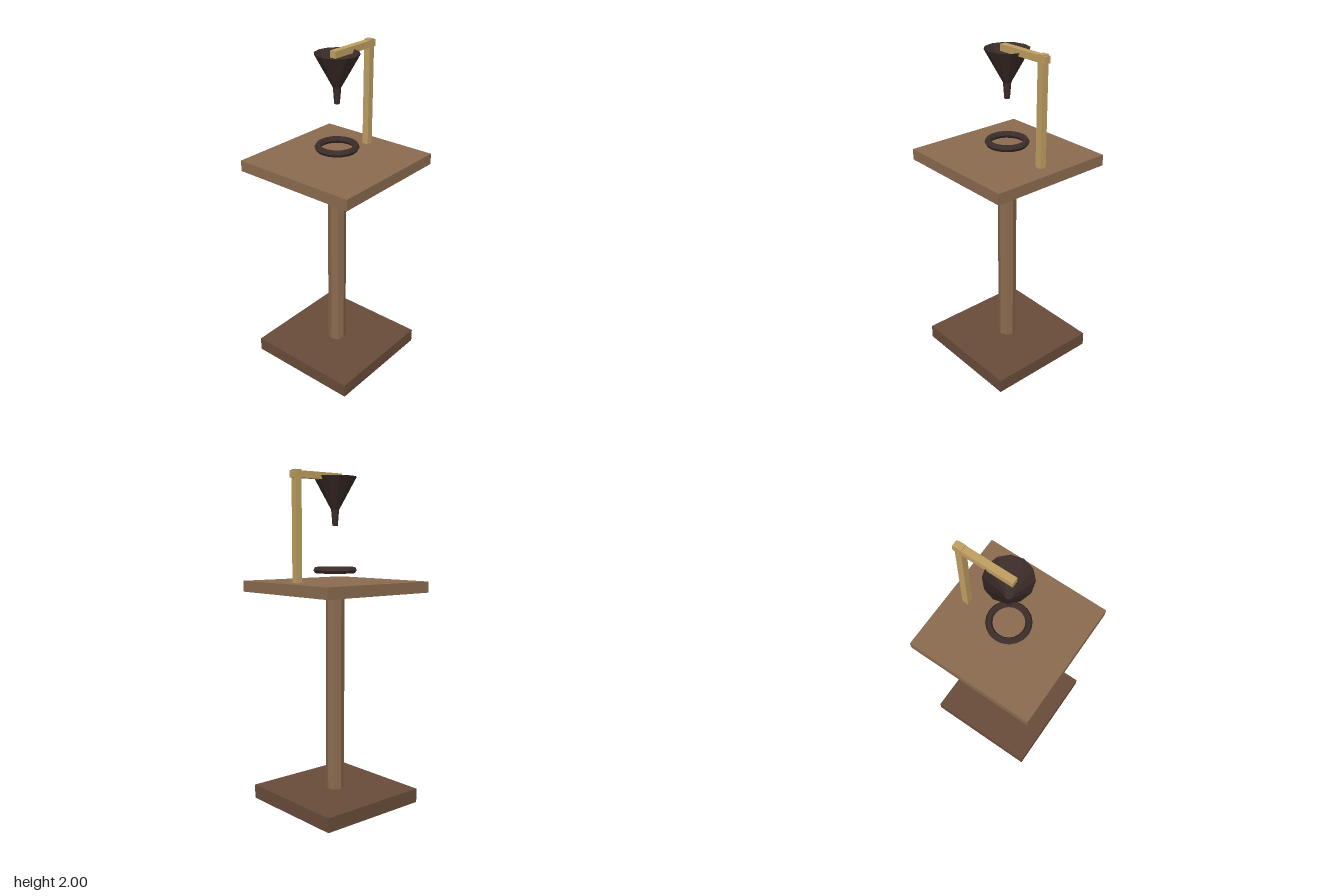
import * as THREE from 'three';

export function createModel() {
  const group = new THREE.Group();
  const material = (name, color, extra = {}) => {
    const m = new THREE.MeshStandardMaterial({ color, flatShading: true, ...extra });
    m.name = name;
    return m;
  };
  const wood = material('wood', 0x8b6b4f);
  const darkWood = material('dark wood', 0x694c3a);
  const brass = material('brass', 0xbf9f62);
  const iron = material('dark iron', 0x3c2d29, { side: THREE.DoubleSide });

  const add = (name, geometry, mat, x, y, z = 0) => {
    const mesh = new THREE.Mesh(geometry, mat);
    mesh.name = name;
    mesh.position.set(x, y, z);
    group.add(mesh);
    return mesh;
  };
  // Box given by its x and y ranges, centred on z
  const box = (name, mat, x0, x1, y0, y1, depth) =>
    add(name, new THREE.BoxGeometry(x1 - x0, y1 - y0, depth), mat, (x0 + x1) / 2, (y0 + y1) / 2);

  // Stand: base, octagonal column and square top
  box('base', darkWood, -0.357, 0.357, 0, 0.086, 0.714);
  add('column', new THREE.CylinderGeometry(0.056, 0.056, 1.214, 8), wood, 0, 0.693);
  box('tableTop', wood, -0.392, 0.392, 1.3, 1.366, 0.784);

  // Bracket: post through the top and arm reaching over the funnel
  box('post', brass, 0.265, 0.305, 1.293, 2, 0.04);
  box('arm', brass, -0.036, 0.319, 1.955, 1.994, 0.04);

  // Funnel: open cone with a tapered spout
  add('funnelCone', new THREE.CylinderGeometry(0.129, 0.021, 0.195, 12, 1, true), iron, 0, 1.8775);
  add('funnelSpout', new THREE.CylinderGeometry(0.024, 0.016, 0.1, 8), iron, 0, 1.741);

  // Ring hovering above the top
  add('ring', new THREE.TorusGeometry(0.11, 0.02, 6, 20), iron, 0, 1.432).rotation.x = Math.PI / 2;

  return group;
}
